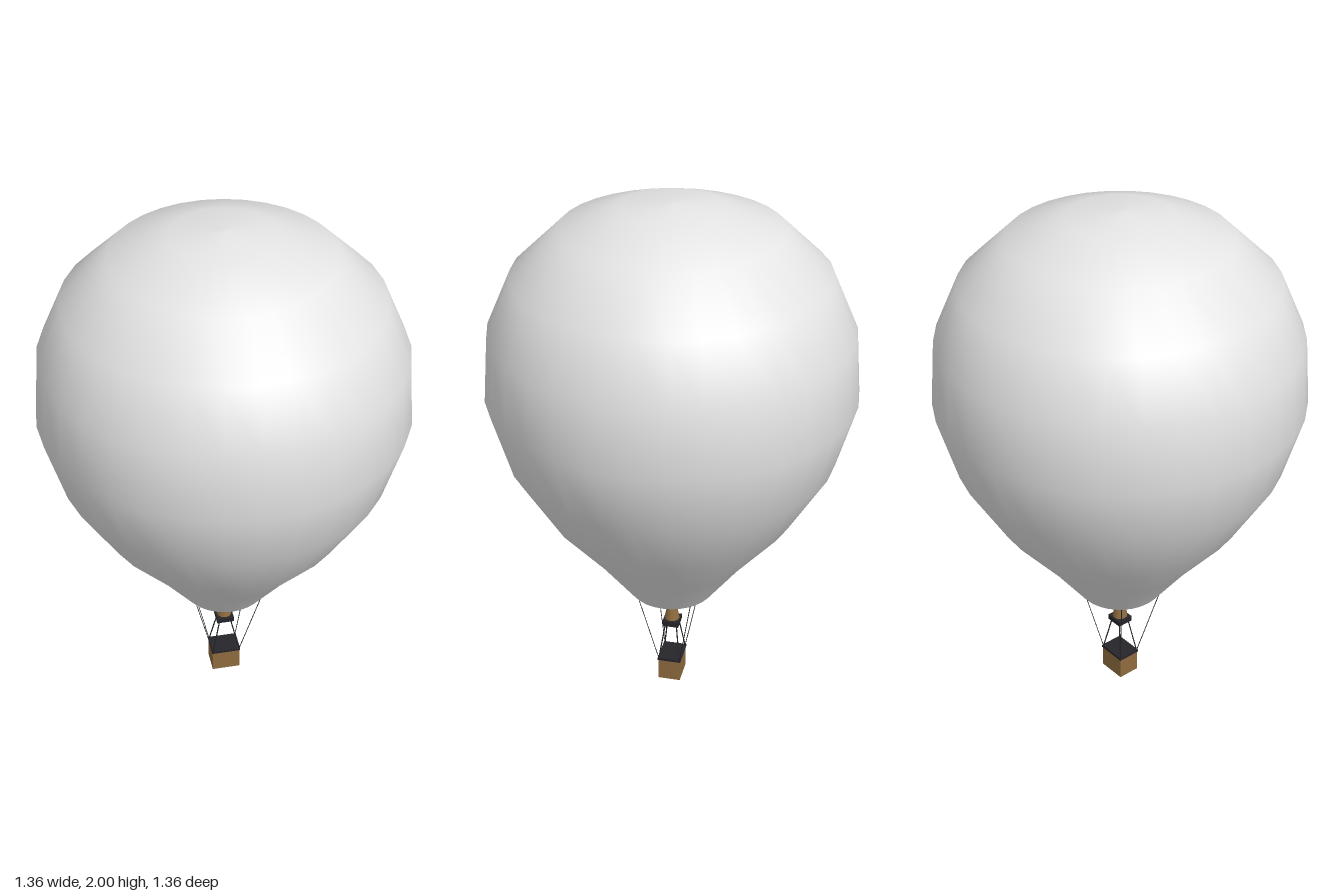
import * as THREE from 'three';

const mat = (name, color, side = THREE.FrontSide) => {
  const m = new THREE.MeshStandardMaterial({ color, side });
  m.name = name;
  return m;
};

export function createModel() {
  const group = new THREE.Group();
  const fabric = mat('pale fabric', 0xe4e4e4, THREE.DoubleSide);
  const wicker = mat('brown wicker', 0x8f6b3e);
  const dark = mat('dark metal', 0x25252a);

  const add = (name, geometry, material, x = 0, y = 0, z = 0) => {
    const mesh = new THREE.Mesh(geometry, material);
    mesh.name = name;
    mesh.position.set(x, y, z);
    group.add(mesh);
    return mesh;
  };

  // thin round bar between two points
  const rope = (name, a, b, radius) => {
    const dir = b.clone().sub(a);
    const mesh = add(name, new THREE.CylinderGeometry(radius, radius, dir.length(), 6), dark);
    mesh.position.copy(a).add(b).multiplyScalar(0.5);
    mesh.quaternion.setFromUnitVectors(new THREE.Vector3(0, 1, 0), dir.normalize());
  };

  // envelope, open at the mouth
  const profile = [
    [0.166, 0.42], [0.3, 0.6], [0.467, 0.8], [0.61, 1.04], [0.682, 1.29],
    [0.662, 1.54], [0.572, 1.745], [0.4, 1.91], [0.19, 1.985], [0, 2],
  ].map(([r, y]) => new THREE.Vector2(r, y));
  add('envelope', new THREE.LatheGeometry(profile, 32), fabric);

  // basket with a dark top
  add('basket', new THREE.BoxGeometry(0.112, 0.088, 0.088), wicker, 0, 0.044, 0);
  add('basketRim', new THREE.BoxGeometry(0.116, 0.01, 0.092), dark, 0, 0.093, 0);

  // burner and flame
  add('burner', new THREE.BoxGeometry(0.068, 0.022, 0.064), dark, 0, 0.252, 0);
  add('flame', new THREE.ConeGeometry(0.03, 0.155, 12), wicker, 0, 0.344, 0);

  // suspension ropes and burner struts at the four corners
  for (const sx of [-1, 1]) {
    for (const sz of [-1, 1]) {
      const corner = new THREE.Vector3(sx * 0.054, 0.095, sz * 0.042);
      rope('suspensionRope', corner, new THREE.Vector3(sx * 0.131, 0.424, sz * 0.102), 0.0015);
      rope('burnerStrut', corner, new THREE.Vector3(sx * 0.022, 0.245, sz * 0.022), 0.0025);
    }
  }
  return group;
}
